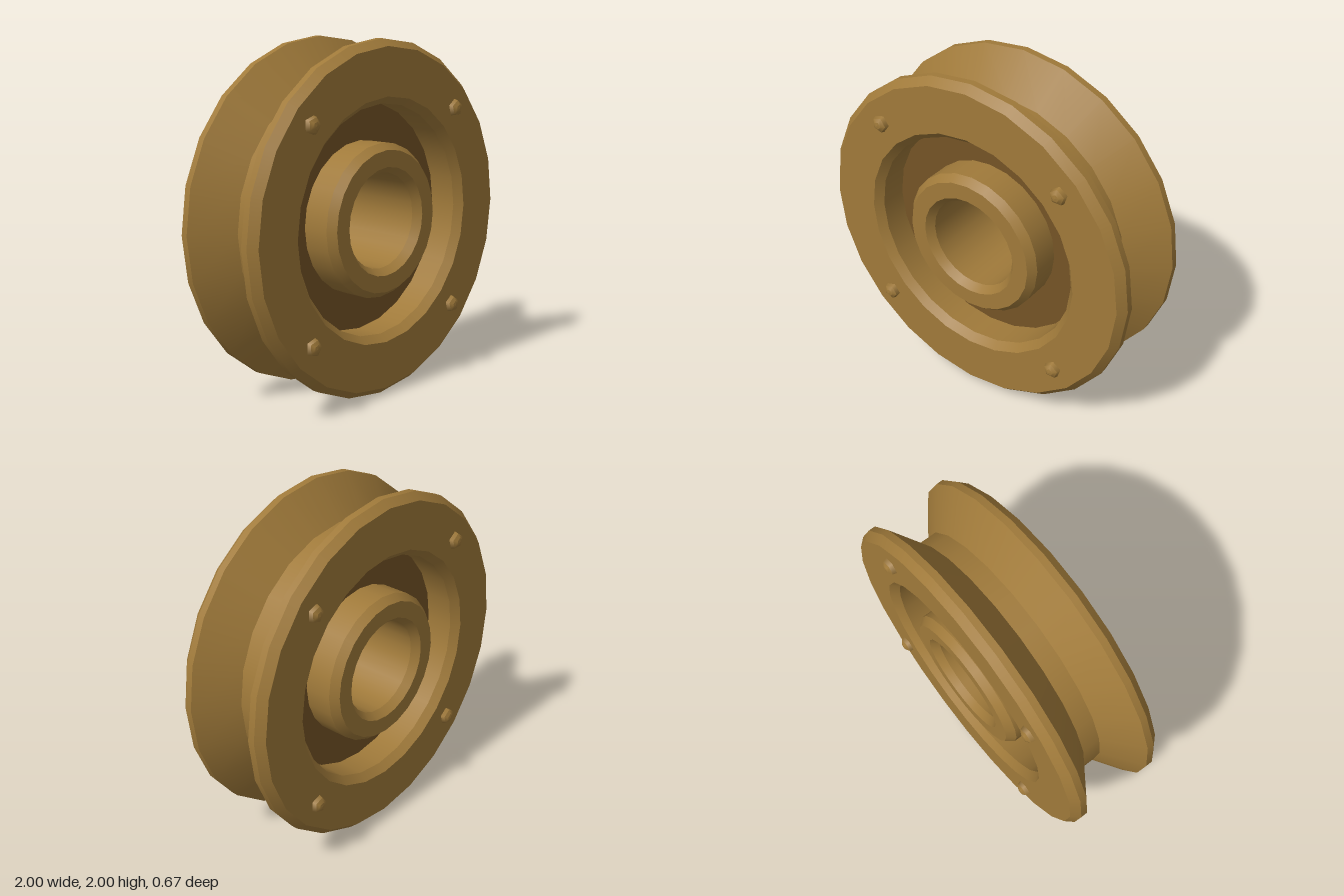
import * as THREE from 'three';
import { mergeGeometries } from 'three/addons/utils/BufferGeometryUtils.js';

const SIDES = 24;

// Revolves [radius, z] points around the z axis, smooth around and sharp between bands.
function revolve(points, sides = SIDES) {
  const bands = [];
  for (let i = 0; i < points.length - 1; i++) {
    const pair = [points[i], points[i + 1]].map(([r, z]) => new THREE.Vector2(r, z));
    bands.push(new THREE.LatheGeometry(pair, sides));
  }
  return mergeGeometries(bands).rotateX(Math.PI / 2);
}

export function createModel() {
  const brass = new THREE.MeshStandardMaterial({ color: 0xa07a3a });
  brass.name = 'brass';
  const darkBrass = new THREE.MeshStandardMaterial({ color: 0x755426 });
  darkBrass.name = 'dark brass';

  const model = new THREE.Group();
  model.name = 'pulleyWheel';
  const wheel = new THREE.Group();
  wheel.name = 'wheel';
  wheel.position.y = 1;
  model.add(wheel);

  const add = (name, geometry, material, parent = wheel) => {
    const mesh = new THREE.Mesh(geometry, material);
    mesh.name = name;
    parent.add(mesh);
    return mesh;
  };

  const face = 0.295, shoulder = 0.25, web = 0.09;

  // V groove between the two flanges
  add('groove', revolve([[1, -0.21], [0.785, -0.055], [0.785, 0.055], [1, 0.21]]), brass);

  // Straight bore through the hub
  add('bore', revolve([[0.27, shoulder], [0.27, -shoulder]]), brass);

  // Both faces are the same, the back one turned half round
  for (const name of ['front', 'back']) {
    const side = new THREE.Group();
    side.name = name + 'Side';
    if (name === 'back') side.rotation.y = Math.PI;
    wheel.add(side);

    // Flange with chamfered edges and the wall of the recess
    add('flange', revolve([
      [1, 0.21], [1, shoulder], [0.96, face], [0.69, face], [0.65, shoulder], [0.65, web],
    ]), brass, side);

    // Recessed web
    add('web', revolve([[0.65, web], [0.435, web]]), darkBrass, side);

    // Hub ring with chamfered edges
    add('hub', revolve([
      [0.435, web], [0.435, shoulder], [0.4, face], [0.305, face], [0.27, shoulder],
    ]), brass, side);

    // Four five-sided rivets
    for (const x of [-0.585, 0.585]) {
      for (const y of [-0.585, 0.585]) {
        const rivet = add('rivet', revolve([[0.052, 0], [0.045, 0.023], [0.022, 0.037], [0, 0.04]], 5), brass, side);
        rivet.position.set(x, y, face);
        rivet.rotation.z = x > 0 ? Math.PI : Math.PI / 2;
      }
    }
  }
  return model;
}
